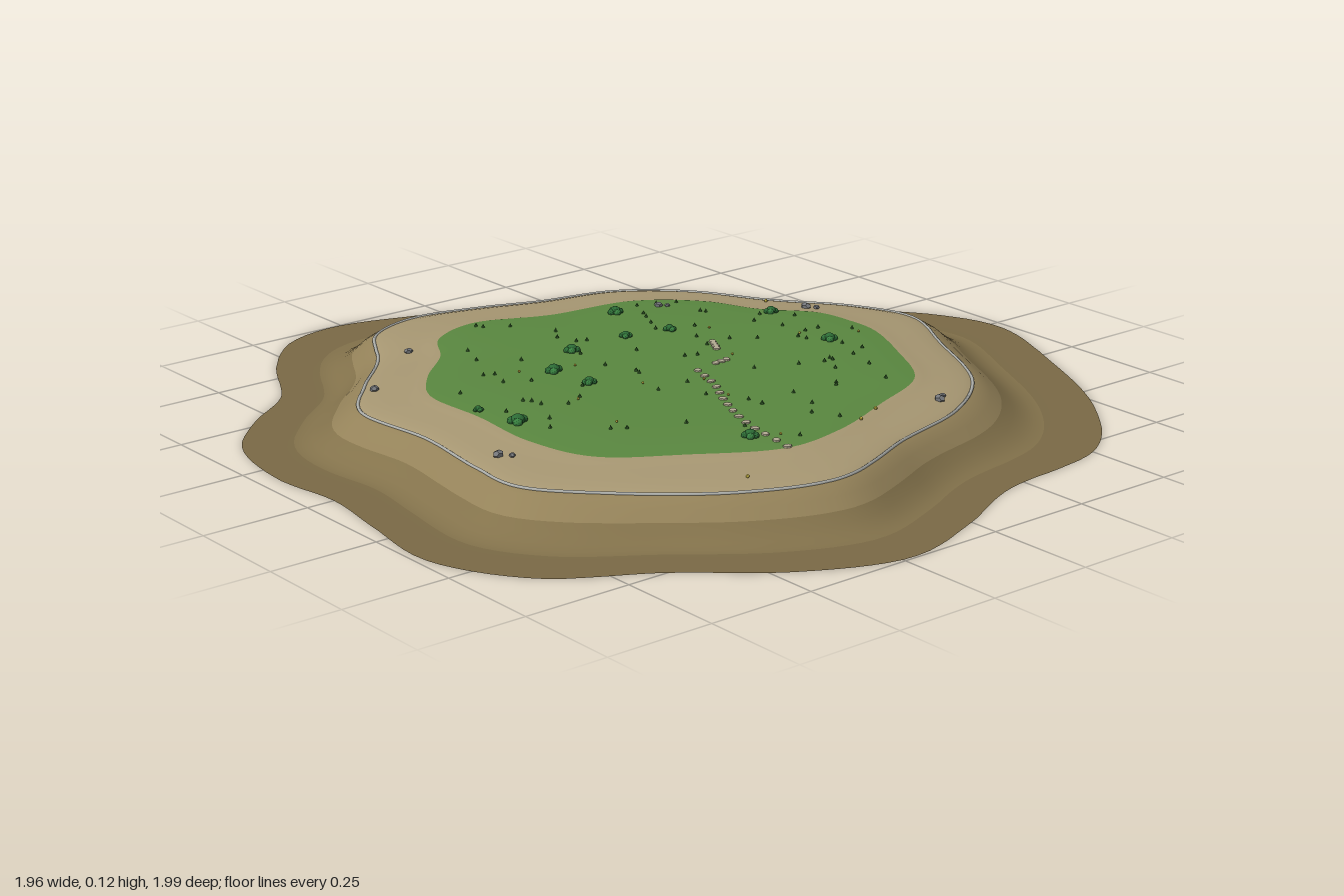
import * as THREE from 'three';

const SEG = 180;

// Outlines seen from above as x, z pairs, running from +x towards +z
const OUTER = [0.98, 0.02, 0.88, 0.3, 0.72, 0.59, 0.51, 0.79, 0.19, 0.845, -0.02, 0.94, -0.23, 0.995, -0.45, 0.91,
  -0.66, 0.745, -0.87, 0.61, -0.98, 0.4, -0.96, 0.19, -0.935, 0, -0.955, -0.18, -0.91, -0.395, -0.79, -0.53,
  -0.66, -0.63, -0.55, -0.82, -0.42, -0.96, -0.27, -1, -0.07, -0.95, 0.14, -0.87, 0.35, -0.82, 0.535, -0.71,
  0.67, -0.53, 0.77, -0.34, 0.92, -0.157];
const SHORE = [0.69, 0.02, 0.6, 0.215, 0.47, 0.45, 0.3, 0.575, 0.085, 0.64, -0.18, 0.73, -0.39, 0.665, -0.605, 0.495,
  -0.72, 0.35, -0.72, 0.215, -0.695, 0, -0.705, -0.235, -0.605, -0.37, -0.48, -0.5, -0.366, -0.67, -0.23, -0.72,
  -0.07, -0.69, 0.085, -0.635, 0.27, -0.59, 0.41, -0.475, 0.52, -0.29, 0.64, -0.13];
const GRASS = [0.515, 0, 0.51, 0.08, 0.44, 0.24, 0.34, 0.4, 0.165, 0.48, -0.02, 0.55, -0.18, 0.565, -0.366, 0.465,
  -0.525, 0.35, -0.57, 0.19, -0.56, 0, -0.56, -0.18, -0.49, -0.29, -0.38, -0.395, -0.31, -0.5, -0.18, -0.55,
  0, -0.485, 0.22, -0.45, 0.35, -0.34, 0.41, -0.21, 0.5, -0.1];

// Height profile: s = 0 centre, 1 grass edge, 2 shoreline, 3 outer rim
const PROFILE = [[0, 0.107], [0.35, 0.107], [0.7, 0.106], [0.88, 0.104], [1, 0.101], [1.15, 0.097], [1.35, 0.094],
  [1.6, 0.091], [1.85, 0.087], [2, 0.081], [2.06, 0.074], [2.14, 0.06], [2.23, 0.039], [2.32, 0.021], [2.4, 0.009],
  [2.48, 0.002], [2.56, 0], [2.75, 0], [3, 0]];

// Turns an outline into a smooth list of radii, one per angle step
function radii(flat) {
  const pts = [];
  for (let i = 0; i < flat.length; i += 2) pts.push(new THREE.Vector3(flat[i], 0, flat[i + 1]));
  const dense = new THREE.CatmullRomCurve3(pts, true).getPoints(1500);
  const out = [];
  for (let j = 0; j < SEG; j++) {
    const a = (j / SEG) * Math.PI * 2, cx = Math.cos(a), cz = Math.sin(a);
    let best = dense[0], dot = -2;
    for (const p of dense) {
      const d = (p.x * cx + p.z * cz) / p.length();
      if (d > dot) { dot = d; best = p; }
    }
    out.push(best.length());
  }
  return out;
}

const edges = [new Array(SEG).fill(0), radii(GRASS), radii(SHORE), radii(OUTER)];

function radiusAt(j, s) {
  const k = Math.min(2, Math.floor(s));
  return THREE.MathUtils.lerp(edges[k][j], edges[k + 1][j], s - k);
}

function profileHeight(s) {
  let i = 1;
  while (i < PROFILE.length - 1 && PROFILE[i][0] < s) i++;
  const [s0, y0] = PROFILE[i - 1], [s1, y1] = PROFILE[i];
  return y0 + (y1 - y0) * (s - s0) / (s1 - s0);
}

function groundHeight(x, z) {
  const j = Math.round((Math.atan2(z, x) / (Math.PI * 2) + 1) * SEG) % SEG;
  const r = Math.hypot(x, z);
  let k = 0;
  while (k < 2 && r > edges[k + 1][j]) k++;
  return profileHeight(Math.min(3, k + (r - edges[k][j]) / (edges[k + 1][j] - edges[k][j])));
}

function seeded(seed) {
  return () => (seed = (seed * 16807) % 2147483647) / 2147483647;
}

export function createModel() {
  const island = new THREE.Group();
  island.name = 'island';
  const rand = seeded(77);
  const paint = (color, flatShading = false, side = THREE.FrontSide) =>
    new THREE.MeshStandardMaterial({ color, flatShading, side });

  // Terrain rings share one set of points and normals, split into colour bands
  const pos = [], all = [];
  for (const [s, y] of PROFILE) {
    for (let j = 0; j < SEG; j++) {
      const a = (j / SEG) * Math.PI * 2, r = radiusAt(j, s);
      pos.push(r * Math.cos(a), y, r * Math.sin(a));
    }
  }
  const bandIndex = (from, to) => {
    const idx = [];
    for (let i = 0; i < PROFILE.length - 1; i++) {
      if (PROFILE[i][0] < from || PROFILE[i][0] >= to) continue;
      for (let j = 0; j < SEG; j++) {
        const n = (j + 1) % SEG, a = i * SEG + j, b = i * SEG + n, c = a + SEG, d = b + SEG;
        if (i > 0) idx.push(a, b, c);
        idx.push(b, d, c);
      }
    }
    return idx;
  };
  const whole = new THREE.BufferGeometry();
  whole.setAttribute('position', new THREE.Float32BufferAttribute(pos, 3));
  whole.setIndex(bandIndex(0, 3));
  whole.computeVertexNormals();
  for (let j = 0; j < SEG; j++) whole.attributes.normal.setXYZ(j, 0, 1, 0);
  const bands = [['grassField', 0, 1, 0x5a8840], ['sandBeach', 1, 2, 0xa89873],
    ['upperBank', 2, 2.2, 0x948259], ['lowerBank', 2.2, 2.5, 0x83724b], ['seabedApron', 2.5, 3, 0x7b6a46]];
  for (const [name, from, to, color] of bands) {
    const geo = new THREE.BufferGeometry();
    geo.setAttribute('position', whole.attributes.position);
    geo.setAttribute('normal', whole.attributes.normal);
    geo.setIndex(bandIndex(from, to));
    const mesh = new THREE.Mesh(geo, paint(color, false, THREE.DoubleSide));
    mesh.name = name;
    island.add(mesh);
  }

  // Thin pale waterline around the beach
  const line = edges[2].map((r, j) => {
    const a = (j / SEG) * Math.PI * 2;
    return new THREE.Vector3(r * Math.cos(a), 0.081, r * Math.sin(a));
  });
  const shore = new THREE.Mesh(
    new THREE.TubeGeometry(new THREE.CatmullRomCurve3(line, true), 360, 0.004, 5, true), paint(0xb2b4b0));
  shore.name = 'shoreline';
  island.add(shore);

  const addGroup = (name) => {
    const g = new THREE.Group();
    g.name = name;
    island.add(g);
    return g;
  };
  // Places a small mesh on the ground, raised by lift
  const place = (group, name, geo, mat, x, z, lift, sx, sy, sz = sx) => {
    const m = new THREE.Mesh(geo, mat);
    m.name = name;
    m.position.set(x, groundHeight(x, z) + lift, z);
    m.scale.set(sx, sy, sz);
    m.rotation.y = rand() * 6.28;
    group.add(m);
  };

  // Stepping stone path, in two runs
  const stones = addGroup('stonePath');
  const disc = new THREE.CylinderGeometry(0.9, 1, 1, 8), stoneMat = paint(0xb5ac94, true);
  const runs = [[14, [[-0.175, 0.56], [-0.155, 0.41], [-0.1, 0.27], [-0.045, 0.17], [-0.01, 0.07]]],
    [3, [[0.055, 0.055], [0.09, 0.05]]], [4, [[0.125, -0.025], [0.15, -0.07]]]];
  for (const [count, pts] of runs) {
    const path = new THREE.SplineCurve(pts.map((p) => new THREE.Vector2(...p)));
    for (let i = 0; i < count; i++) {
      const p = path.getPointAt(i / (count - 1));
      place(stones, 'steppingStone', disc, stoneMat, p.x, p.y, 0.001, 0.011, 0.004, 0.009);
    }
  }

  // Bushes made from clustered blobs
  const bushes = addGroup('bushes');
  const blob = new THREE.IcosahedronGeometry(1, 1);
  const leaves = [paint(0x2c6b35, true), paint(0x37803f, true)];
  const spots = [[0.12, -0.39, 1], [-0.14, -0.22, 1], [-0.26, -0.13, 1.1], [-0.25, -0.015, 0.9], [-0.52, 0.085, 1.2],
    [-0.2, 0.47, 1], [0.37, 0.085, 1], [0.41, -0.165, 0.9], [0.02, -0.225, 0.8], [0.13, -0.2, 0.8], [-0.54, -0.03, 0.6]];
  for (const [x, z, k] of spots) {
    place(bushes, 'bush', blob, leaves[0], x, z, 0.006, 0.013 * k, 0.011 * k);
    for (let i = 0; i < 4; i++) {
      const a = i * 1.57 + rand();
      place(bushes, 'bushLobe', blob, leaves[i % 2], x + 0.011 * k * Math.cos(a), z + 0.011 * k * Math.sin(a),
        0.004, 0.009 * k, 0.008 * k);
    }
  }

  // Beach rocks
  const rocks = addGroup('rocks');
  const rock = new THREE.DodecahedronGeometry(1), rockMat = paint(0x74767a, true);
  for (const [x, z, r] of [[-0.405, -0.485, 0.011], [-0.61, -0.322, 0.012], [0.52, -0.165, 0.014], [0.534, -0.143, 0.008],
    [-0.657, 0.2, 0.014], [-0.64, 0.226, 0.008], [0.3, 0.522, 0.014], [0.32, 0.51, 0.008], [0.235, -0.37, 0.011],
    [0.25, -0.355, 0.007]]) {
    place(rocks, 'rock', rock, rockMat, x, z, 0.003, r, r * 0.7, r * 0.85);
  }

  // Grass tufts scattered over the field, with a few yellow flowers
  const tufts = addGroup('grassTufts'), flowers = addGroup('flowers');
  const cone = new THREE.ConeGeometry(1, 1, 5), tuftMat = paint(0x2f5a26, true), petalMat = paint(0xd6c24a, true);
  for (let i = 0; i < 95; i++) {
    const j = Math.floor(rand() * SEG), r = edges[1][j] * 0.95 * Math.sqrt(rand()), a = (j / SEG) * Math.PI * 2;
    const x = r * Math.cos(a), z = r * Math.sin(a);
    if (i % 8) place(tufts, 'tuft', cone, tuftMat, x, z, 0.004, 0.005, 0.01);
    else place(flowers, 'flower', blob, petalMat, x, z, 0.004, 0.003, 0.003);
  }
  for (const [x, z] of [[0.485, -0.27], [-0.34, 0.625], [0.13, 0.5], [0.06, 0.53]]) {
    place(flowers, 'flower', blob, petalMat, x, z, 0.003, 0.004, 0.004);
  }
  return island;
}
